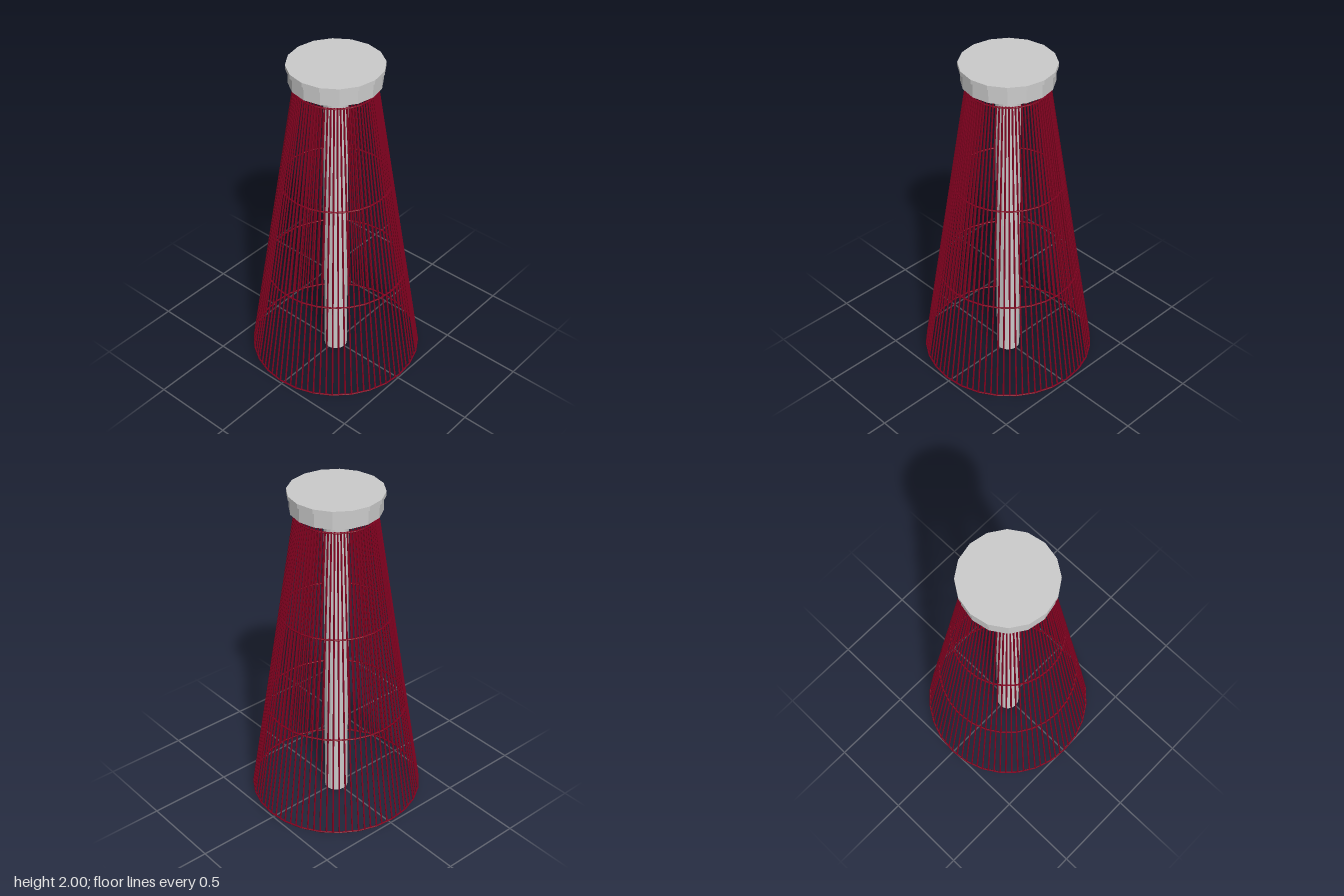
import * as THREE from 'three';

const SIDES = 28, WIRES_PER_SIDE = 3, WIRE_R = 0.005;
const BASE_Y = 0.037, TOP_Y = 1.86, BASE_R = 0.51, TOP_R = 0.228;

export function createModel() {
  const group = new THREE.Group();
  const grey = new THREE.MeshStandardMaterial({ color: 0xcccccc, flatShading: true });
  const red = new THREE.MeshStandardMaterial({ color: 0x80001f, flatShading: true });

  const add = (name, geometry, material, parent = group) => {
    const mesh = new THREE.Mesh(geometry, material);
    mesh.name = name;
    parent.add(mesh);
    return mesh;
  };

  // Central pole
  add('pole', new THREE.CylinderGeometry(0.07, 0.07, 1.9, 16), grey).position.y = 0.95;

  // Stepped cap with a thin overhanging lip
  const profile = [[0, 1.89], [0.258, 1.89], [0.258, 1.975], [0.27, 1.975], [0.27, 2], [0, 2]];
  add('cap', new THREE.LatheGeometry(profile.map(([r, y]) => new THREE.Vector2(r, y)), 16), grey);

  // Conical wire cage
  const cage = new THREE.Group();
  cage.name = 'wireCage';
  group.add(cage);
  const radiusAt = y => THREE.MathUtils.lerp(BASE_R, TOP_R, (y - BASE_Y) / (TOP_Y - BASE_Y));
  const corner = (i, y) => {
    const a = i / SIDES * Math.PI * 2, r = radiusAt(y);
    return new THREE.Vector3(Math.cos(a) * r, y, Math.sin(a) * r);
  };

  // Horizontal hoops
  for (const y of [BASE_Y, 0.64, 1.25, TOP_Y - WIRE_R]) {
    const hoop = add('hoop', new THREE.TorusGeometry(radiusAt(y), WIRE_R, 6, SIDES), red, cage);
    hoop.rotation.x = Math.PI / 2;
    hoop.position.y = y;
  }

  // Slanted wires, spaced evenly along each straight side of the hoops
  const up = new THREE.Vector3(0, 1, 0);
  for (let i = 0; i < SIDES; i++) {
    for (let k = 0; k < WIRES_PER_SIDE; k++) {
      const t = k / WIRES_PER_SIDE;
      const low = corner(i, BASE_Y).lerp(corner(i + 1, BASE_Y), t);
      const high = corner(i, TOP_Y).lerp(corner(i + 1, TOP_Y), t);
      const dir = high.clone().sub(low);
      const wire = add('wire', new THREE.CylinderGeometry(WIRE_R, WIRE_R, dir.length(), 6), red, cage);
      wire.position.copy(low).add(high).multiplyScalar(0.5);
      wire.quaternion.setFromUnitVectors(up, dir.normalize());
    }
  }
  return group;
}
